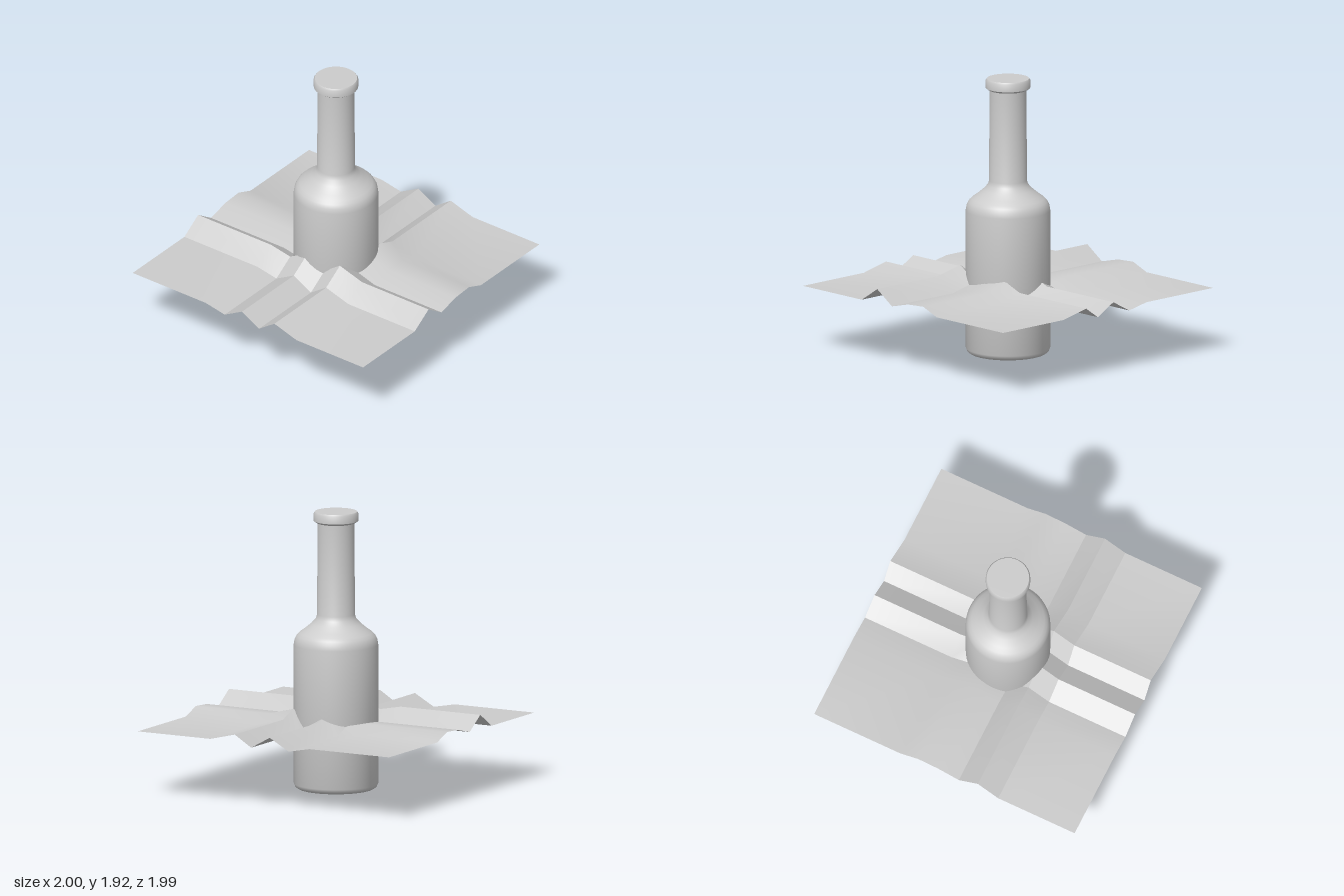
import * as THREE from 'three';
import { toCreasedNormals } from 'three/addons/utils/BufferGeometryUtils.js';

const CENTRE_X = -0.008;

// Bottle outline as [radius, height], from the base centre to the top centre
const PROFILE = [
  [0, 0], [0.262, 0], [0.28, 0.012], [0.29, 0.035], [0.29, 1.0],
  [0.284, 1.035], [0.27, 1.062], [0.25, 1.082], [0.218, 1.105],
  [0.17, 1.145], [0.14, 1.178], [0.129, 1.21], [0.128, 1.845],
  [0.14, 1.85], [0.153, 1.86], [0.153, 1.912], [0.145, 1.924], [0, 1.925],
];

// Fold lines of the cloth: height above the flat level at each x and z
const BASE = 0.457;
const FOLDS_X = [[-0.993, 0], [-0.41, 0], [-0.255, 0.1], [-0.11, 0.003],
  [0.05, 0.043], [0.2, 0.052], [0.335, 0], [0.993, 0]];
const FOLDS_Z = [[-0.995, 0], [-0.365, 0], [-0.2, -0.032], [-0.05, 0.05],
  [0.097, -0.032], [0.22, 0.05], [0.42, 0], [0.995, 0]];

function createBottle(material) {
  const points = PROFILE.map(([r, y]) => new THREE.Vector2(r, y));
  const geometry = toCreasedNormals(new THREE.LatheGeometry(points, 64), 0.6);
  const bottle = new THREE.Mesh(geometry, material);
  bottle.name = 'bottle';
  bottle.position.x = CENTRE_X;
  return bottle;
}

// The two sets of folds add up where they cross
function createCloth(material) {
  const columns = FOLDS_X.length - 1;
  const rows = FOLDS_Z.length - 1;
  const plane = new THREE.PlaneGeometry(1, 1, columns, rows);
  const position = plane.attributes.position;
  for (let i = 0; i < position.count; i++) {
    const [x, hx] = FOLDS_X[i % (columns + 1)];
    const [z, hz] = FOLDS_Z[Math.floor(i / (columns + 1))];
    const shift = z === 0.22 ? 0.012 : 0; // the front ridge leans slightly sideways
    position.setXYZ(i, x + CENTRE_X + shift, BASE + hx + hz, z);
  }
  const cloth = new THREE.Mesh(toCreasedNormals(plane, 0.5), material);
  cloth.name = 'foldedCloth';
  return cloth;
}

export function createModel() {
  const group = new THREE.Group();
  group.name = 'bottleWithCloth';
  const grey = new THREE.MeshStandardMaterial({ color: 0xcccccc });
  const thinGrey = new THREE.MeshStandardMaterial({ color: 0xcccccc, side: THREE.DoubleSide });
  group.add(createBottle(grey), createCloth(thinGrey));
  return group;
}
